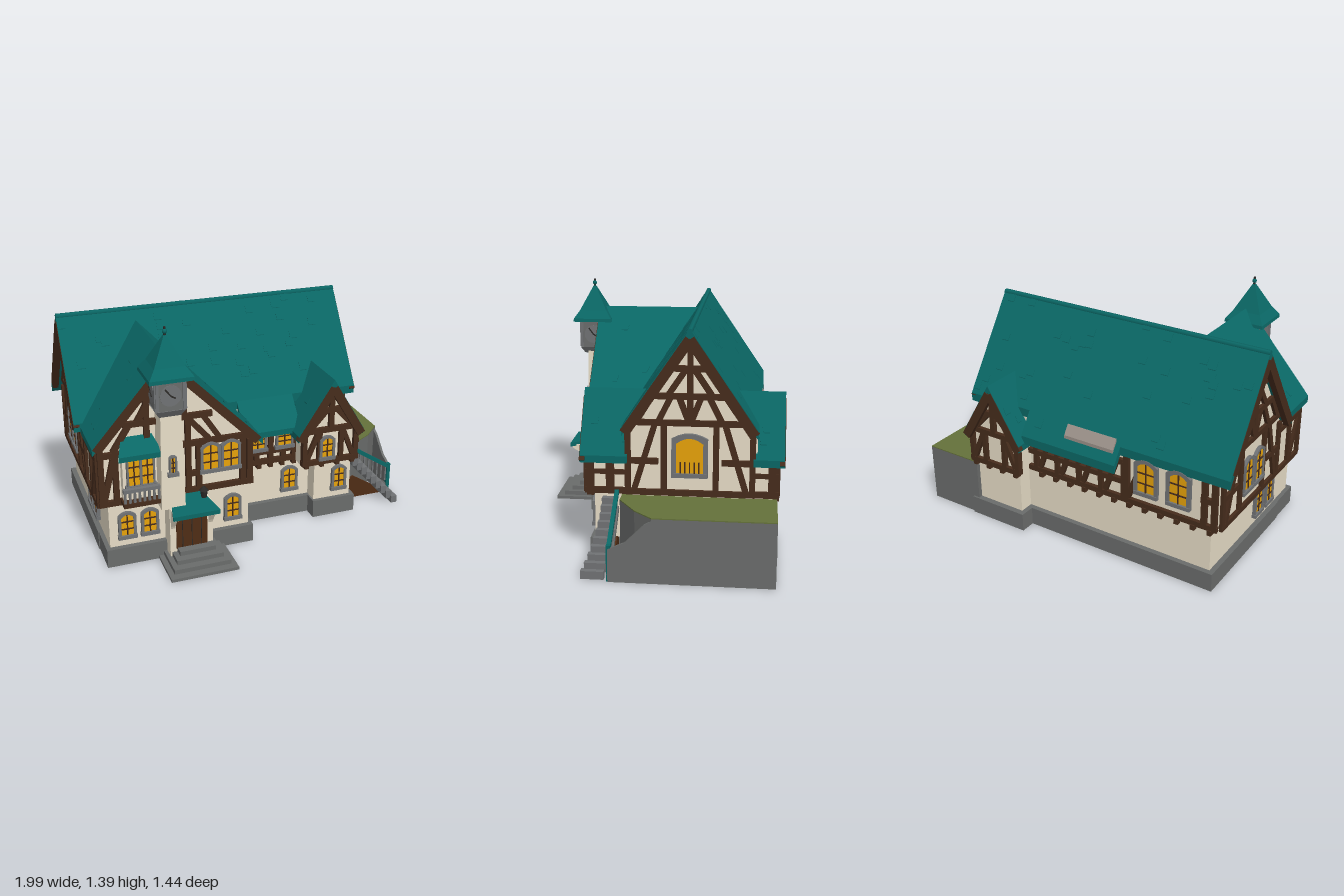
import * as THREE from 'three';

const mat = (name, color) => {
  const m = new THREE.MeshStandardMaterial({ color });
  m.name = name;
  return m;
};

export function createModel() {
  const root = new THREE.Group();
  root.name = 'timberHouse';
  const teal = mat('tealRoof', 0x0a6765), cream = mat('creamPlaster', 0xe6dcc6), wood = mat('darkTimber', 0x462c1c),
    stone = mat('greyStone', 0x6a6c6b), frame = mat('windowStone', 0x707274), glass = mat('amberGlass', 0xe6a20a),
    grass = mat('oliveGrass', 0x64713a), doorWood = mat('doorWood', 0x4f2c15), dark = mat('darkIron', 0x2c2a28),
    pale = mat('paleSlate', 0x9a9088);
  let seed = 7;
  const rnd = () => (seed = (seed * 16807) % 2147483647) / 2147483647;

  const add = (name, geo, m, parent = root) => {
    const mesh = new THREE.Mesh(geo, m);
    mesh.name = name;
    parent.add(mesh);
    return mesh;
  };
  // Box given by its limits
  const box = (name, m, x0, x1, y0, y1, z0, z1, parent = root) => {
    const b = add(name, new THREE.BoxGeometry(x1 - x0, y1 - y0, z1 - z0), m, parent);
    b.position.set((x0 + x1) / 2, (y0 + y1) / 2, (z0 + z1) / 2);
  };
  const polygon = pts => new THREE.Shape(pts.map(p => new THREE.Vector2(...p)));
  // Outline in x,y drawn along z
  const prismZ = (name, m, pts, z0, z1) => {
    const g = new THREE.ExtrudeGeometry(polygon(pts), { depth: z1 - z0, bevelEnabled: false });
    add(name, g.translate(0, 0, z0), m);
  };
  // Outline in z,y drawn along x
  const prismX = (name, m, pts, x0, x1) => {
    const g = new THREE.ExtrudeGeometry(polygon(pts.map(([z, y]) => [-z, y])), { depth: x1 - x0, bevelEnabled: false });
    add(name, g.rotateY(Math.PI / 2).translate(x0, 0, 0), m);
  };
  // Sloped slab: four top corners, thickness measured downwards, optional loose tiles
  const slab = (name, m, pts, t = 0.04, tiles = 0) => {
    const v = pts.map(p => new THREE.Vector3(...p));
    const n = v[1].clone().sub(v[0]).cross(v[2].clone().sub(v[0]));
    if (n.y < 0) v.reverse();
    const all = [...v, ...v.map(p => p.clone().setY(p.y - t))], pos = [];
    const quad = (a, b, c, d) => [a, b, c, a, c, d].forEach(i => pos.push(...all[i].toArray()));
    quad(0, 1, 2, 3);
    quad(7, 6, 5, 4);
    for (let i = 0; i < 4; i++) { const j = (i + 1) % 4; quad(i, i + 4, j + 4, j); }
    const g = new THREE.BufferGeometry();
    g.setAttribute('position', new THREE.Float32BufferAttribute(pos, 3));
    g.computeVertexNormals();
    add(name, g, m);
    const at = (s, r) => {
      const p = v[0].clone().lerp(v[1], s).lerp(v[3].clone().lerp(v[2], s), r);
      return [p.x, p.y + 0.004, p.z];
    };
    const ds = 0.045 / v[0].distanceTo(v[1]), dr = 0.045 / v[0].distanceTo(v[3]);
    for (let i = 0; i < tiles; i++) {
      const s = rnd() * (1 - ds), r = rnd() * (1 - dr);
      slab('looseTile', m, [at(s, r), at(s + ds, r), at(s + ds, r + dr), at(s, r + dr)], 0.008);
    }
  };
  // Wall frame: local x runs along the wall, local z points outwards
  const wall = (name, x, z, turn) => {
    const g = new THREE.Group();
    g.name = name;
    g.position.set(x, 0, z);
    g.rotation.y = turn * Math.PI / 2;
    root.add(g);
    return g;
  };
  const beam = (g, [x1, y1, x2, y2], w = 0.032, d = 0.036, z = 0, m = wood, name = 'timber') => {
    const b = add(name, new THREE.BoxGeometry(Math.hypot(x2 - x1, y2 - y1), w, d), m, g);
    b.position.set((x1 + x2) / 2, (y1 + y2) / 2, z);
    b.rotation.z = Math.atan2(y2 - y1, x2 - x1);
  };
  const beams = (g, list, w) => list.forEach(b => beam(g, b, w));
  const arch = (w, h, k = Math.min(0.25 * w, 0.03)) => {
    const s = new THREE.Shape();
    s.moveTo(-w / 2, -h / 2);
    s.lineTo(w / 2, -h / 2);
    s.lineTo(w / 2, h / 2 - k);
    s.quadraticCurveTo(0, h / 2 + k, -w / 2, h / 2 - k);
    s.closePath();
    return s;
  };
  // Arched window: stone surround, pane, bars (default: one upright and two rails) and sill
  const windowAt = (g, x, y, w = 0.075, h = 0.14, z = 0, e = 0.016, bars) => {
    const n = new THREE.Group();
    n.name = 'window';
    n.position.set(x, y, z);
    g.add(n);
    const s = arch(w + 2 * e, h + 2 * e);
    s.holes.push(arch(w, h));
    add('surround', new THREE.ExtrudeGeometry(s, { depth: 0.02, bevelEnabled: false, curveSegments: 6 }), frame, n);
    add('pane', new THREE.ShapeGeometry(arch(w, h), 6), glass, n).position.z = 0.012;
    bars ??= [[0, -h / 2, 0, h / 2], [-w / 2, -0.2 * h, w / 2, -0.2 * h], [-w / 2, 0.15 * h, w / 2, 0.15 * h]];
    for (const b of bars) beam(n, b, 0.007, 0.006, 0.014, wood, 'bar');
    box('sill', frame, -w / 2 - 0.02, w / 2 + 0.02, -h / 2 - 0.022, -h / 2, 0, 0.025, n);
  };

  // Main roof: height follows the distance from the ridge at z = -0.21
  const RZ = -0.21, RY = 1.29, S = 1.47;
  const roofY = z => RY - S * Math.abs(z - RZ);
  const valley = (y, side) => RZ + side * (RY - y) / S;
  for (const [x0, x1, b] of [[-0.99, -0.33, -0.6], [-0.33, 0.3, -0.66], [0.3, 0.73, -0.575]])
    for (const z of [0.15, b])
      slab('mainRoof', teal, [[x0, RY, RZ], [x1, RY, RZ], [x1, roofY(z), z], [x0, roofY(z), z]], 0.05, Math.round((x1 - x0) * 22));
  slab('middleEaves', teal, [[-0.03, roofY(0.15), 0.15], [0.32, roofY(0.15), 0.15], [0.32, 0.605, 0.29], [-0.03, 0.605, 0.29]], 0.035);
  const cap = add('ridgeCap', new THREE.CylinderGeometry(0.016, 0.016, 1.72, 6), teal);
  cap.rotation.z = Math.PI / 2;
  cap.position.set(-0.13, 1.276, RZ);
  slab('roofHatch', pale, [[-0.3, 0.755, -0.59], [0.02, 0.755, -0.59], [0.02, 0.7, -0.628], [-0.3, 0.7, -0.628]], 0.02);

  // Main body, lower storey and plinths
  prismX('mainUpperWalls', cream, [[0.13, 0.36], [0.13, 0.75], [RZ, 1.25], [-0.57, 0.72], [-0.57, 0.36]], -0.92, 0.66);
  box('mainLowerWalls', cream, -0.88, 0.65, 0.05, 0.38, -0.57, 0.22);
  box('middleUpperWall', cream, -0.06, 0.32, 0.38, 0.6, 0, 0.23);
  box('wingLowerWalls', cream, -0.88, -0.06, 0.05, 0.4, 0, 0.43);
  box('frontBayLower', cream, 0.41, 0.65, 0.05, 0.4, 0, 0.31);
  box('backBayLower', cream, 0.33, 0.655, 0.05, 0.4, -0.655, -0.3);
  for (const [x0, x1, z0, z1] of [[-0.91, 0.67, -0.6, 0.25], [-0.905, -0.04, 0, 0.46], [0.4, 0.675, 0, 0.335], [0.3, 0.68, -0.69, -0.3]])
    box('plinth', stone, x0, x1, 0, 0.11, z0, z1);

  // Cross gables: walls, roof panels ending in the valleys, barge boards
  const crossGable = (name, side, ax, ay, [xl, yl], [xr, yr], zf, zw, wl, wr, cutL, cutR, tiles) => {
    const lim = x => ay - 0.035 - (x < ax ? (ax - x) * (ay - yl) / (ax - xl) : (x - ax) * (ay - yr) / (xr - ax));
    prismZ(name + 'Walls', cream, [[wl, 0.37], [wr, 0.37], [wr, lim(wr)], [ax, ay - 0.035], [wl, lim(wl)]], Math.min(zw, RZ + side * 0.1), Math.max(zw, RZ + side * 0.1));
    const zr = valley(ay, side) - side * 0.01;
    for (const [x, y, zc] of [[xl, yl, cutL], [xr, yr, cutR]]) {
      slab(name + 'Roof', teal, [[ax, ay, zf], [x, y, zf], [x, y, zc], [ax, ay, zr]], 0.04, tiles);
      const k = 0.95, drop = 0.0255 * Math.hypot(1, (ay - y) / (x - ax)) + 0.003;
      beam(root, [ax, ay - drop, ax + (x - ax) * k, ay + (y - ay) * k - drop], 0.05, 0.03, zf - side * 0.012, wood, 'bargeBoard');
    }
  };
  crossGable('wing', 1, -0.54, 1.22, [-0.955, 0.745], [0.01, 0.665], 0.47, 0.43, -0.92, -0.05, valley(0.745, 1), valley(0.665, 1), 5);
  crossGable('frontDormer', 1, 0.485, 0.915, [0.27, 0.585], [0.685, 0.585], 0.385, 0.345, 0.31, 0.66, 0.13, 0.13, 2);
  crossGable('backDormer', -1, 0.48, 0.915, [0.28, 0.585], [0.68, 0.585], -0.715, -0.67, 0.31, 0.66, -0.56, -0.55, 2);

  // Timber framing of the two main gable ends
  const gableEnd = (g, uc, zb) => {
    for (const s of [-1, 1]) {
      const X = u => uc + s * u;
      beam(g, [uc, RY - 0.055, X(0.345), RY - 0.562], 0.055, 0.035, zb, wood, 'bargeBoard');
      beams(g, [[X(0.335), 0.38, X(0.335), 0.72], [X(0.14), 0.4, X(0.14), 0.77], [X(0.3), 0.4, X(0.19), 0.76], [X(0.17), 0.56, X(0.32), 0.56],
        [X(0.17), 0.78, X(0.1), 0.92], [X(0.28), 0.79, X(0.2), 0.92], [X(0.01), 0.79, X(0.06), 0.92], [X(0.12), 0.92, X(0.02), 1.07]]);
    }
    beams(g, [[uc - 0.35, 0.385, uc + 0.35, 0.385], [uc - 0.32, 0.775, uc + 0.32, 0.775], [uc - 0.22, 0.92, uc + 0.22, 0.92],
      [uc - 0.12, 1.07, uc + 0.12, 1.07], [uc, 0.78, uc, 1.2]]);
  };
  const right = wall('rightGable', 0.66, 0, 1), left = wall('leftGable', -0.92, 0, -1);
  gableEnd(right, 0.21, 0.055);
  gableEnd(left, -0.21, 0.055);
  windowAt(right, 0.21, 0.598, 0.145, 0.195, 0.01, 0.025, [-0.05, -0.025, 0, 0.025, 0.05].map(u => [u, -0.097, u, -0.035]));
  for (const u of [-0.27, -0.14]) windowAt(left, u, 0.58, 0.085, 0.18, 0.005);
  beams(left, [[0.14, 0.385, 0.43, 0.385], [0.14, 0.66, 0.42, 0.66], [0.42, 0.38, 0.42, 0.7], [0.28, 0.39, 0.28, 0.66], [0.3, 0.4, 0.4, 0.64]]);
  const leftLow = wall('leftLowerWall', -0.88, 0, -1);
  for (const u of [0, 0.14]) windowAt(leftLow, u, 0.25);
  const wingSide = wall('wingRightSide', -0.05, 0, 1);
  beams(wingSide, [[-0.44, 0.39, -0.22, 0.39], [-0.41, 0.39, -0.41, 0.64], [-0.43, 0.58, -0.24, 0.58], [-0.39, 0.5, -0.28, 0.5]], 0.04);

  // Wing front
  const wing = wall('wingFront', 0, 0.435, 0);
  beams(wing, [[-0.93, 0.395, -0.04, 0.395], [-0.92, 0.685, -0.04, 0.685], [-0.78, 0.85, -0.28, 0.85], [-0.91, 0.38, -0.91, 0.73], [-0.83, 0.4, -0.83, 0.69],
    [-0.42, 0.4, -0.42, 0.85], [-0.36, 0.4, -0.36, 0.69], [-0.1, 0.4, -0.1, 0.69], [-0.06, 0.38, -0.06, 0.66], [-0.9, 0.41, -0.84, 0.66], [-0.84, 0.7, -0.75, 0.84],
    [-0.24, 0.7, -0.33, 0.84], [-0.42, 0.84, -0.3, 0.7], [-0.65, 0.7, -0.65, 1.02], [-0.44, 0.86, -0.44, 1.02], [-0.7, 0.86, -0.62, 1.0], [-0.42, 0.5, -0.36, 0.5]]);
  for (const x of [-0.295, -0.175]) windowAt(wing, x, 0.59, 0.085, 0.15, 0.008);
  for (const x of [-0.78, -0.65, -0.16]) windowAt(wing, x, 0.245, 0.07, 0.13, -0.005);

  // Balcony bay with its little roof
  box('bayWindowWall', cream, -0.8, -0.61, 0.4, 0.72, 0.4, 0.48);
  for (const x of [-0.74, -0.665]) windowAt(wing, x, 0.595, 0.06, 0.17, 0.045, 0.011);
  slab('bayRoof', teal, [[-0.79, 0.775, 0.43], [-0.62, 0.775, 0.43], [-0.59, 0.71, 0.54], [-0.83, 0.71, 0.54]], 0.03);
  box('balconyFloor', wood, -0.81, -0.6, 0.395, 0.42, 0.44, 0.53);
  box('balconyRail', frame, -0.81, -0.6, 0.485, 0.505, 0.505, 0.53);
  for (let i = 0; i < 8; i++) {
    const b = add('baluster', new THREE.CylinderGeometry(0.007, 0.009, 0.08, 6), frame);
    b.position.set(-0.8 + i * 0.027, 0.45, 0.517);
  }

  // Middle front, front dormer and lower windows
  const mid = wall('middleFront', 0, 0.235, 0);
  beams(mid, [[-0.05, 0.39, 0.32, 0.39], [-0.05, 0.455, 0.32, 0.455], [-0.02, 0.39, -0.02, 0.58], [0.15, 0.39, 0.15, 0.58], [0.3, 0.39, 0.3, 0.58], [0.06, 0.39, 0.06, 0.46], [0.23, 0.39, 0.23, 0.46]]);
  for (const x of [0.065, 0.235]) windowAt(mid, x, 0.53, 0.085, 0.09, 0.005, 0.012);
  windowAt(mid, 0.28, 0.245, 0.075, 0.13, -0.014);
  windowAt(wall('frontBayFace', 0, 0.31, 0), 0.57, 0.245, 0.065, 0.13);
  const dormerFrame = (g, c) => {
    beams(g, [[c - 0.18, 0.39, c + 0.18, 0.39], [c - 0.16, 0.595, c + 0.16, 0.595], [c - 0.09, 0.72, c + 0.09, 0.72], [c, 0.6, c, 0.86]]);
    for (const s of [-1, 1]) beams(g, [[c + s * 0.165, 0.38, c + s * 0.165, 0.6], [c + s * 0.07, 0.4, c + s * 0.07, 0.6],
      [c + s * 0.15, 0.41, c + s * 0.08, 0.58], [c + s * 0.13, 0.61, c + s * 0.03, 0.72]], 0.028);
  };
  const front = wall('frontDormerFace', 0, 0.35, 0), back = wall('backDormerFace', 0, -0.675, 2);
  dormerFrame(front, 0.485);
  windowAt(front, 0.46, 0.485, 0.065, 0.12, 0.01);
  dormerFrame(back, -0.485);
  for (const [z, z0, z1] of [[0.33, 0.13, 0.36], [-0.65, -0.685, -0.55]]) {
    box('cornerPost', wood, 0.645, 0.675, 0.37, 0.57, z - 0.02, z + 0.02);
    box('sideBeam', wood, 0.64, 0.675, 0.37, 0.405, z0, z1);
    box('sideBeam', wood, 0.64, 0.675, 0.48, 0.505, z0, z1);
  }
  box('innerPost', wood, 0.64, 0.675, 0.37, 0.6, 0.2, 0.245);

  // Back wall, with u = -x
  const rear = wall('backWall', 0, -0.575, 2);
  beams(rear, [[-0.31, 0.39, 0.92, 0.39], [-0.31, 0.5, 0.34, 0.5], [-0.31, 0.62, 0.34, 0.62], [0.36, 0.39, 0.36, 0.7], [0.9, 0.38, 0.9, 0.7], [0.84, 0.4, 0.84, 0.7], [0.82, 0.55, 0.9, 0.55]]);
  for (let u = -0.26; u < 0.34; u += 0.15) beams(rear, [[u, 0.39, u, 0.62], [u + 0.03, 0.41, u + 0.1, 0.6]], 0.028);
  for (const u of [0.49, 0.69]) windowAt(rear, u, 0.57, 0.105, 0.18, 0.008, 0.022);

  // Jetty brackets
  const bracket = (x, z) => box('jettyBracket', wood, x - 0.013, x + 0.013, 0.35, 0.38, z - 0.02, z + 0.02);
  for (let x = -0.88; x < 0.3; x += 0.1) bracket(x, -0.58);
  for (let x = 0; x < 0.4; x += 0.075) bracket(x, 0.235);
  for (let x = 0.34; x < 0.66; x += 0.1) { bracket(x, 0.335); bracket(x, -0.67); }
  for (let z = -0.52; z < 0.42; z += 0.1) bracket(-0.9, z);

  // Clock tower
  const square = (name, m, rt, rb, y0, y1, x = -0.55, z = 0.505) => {
    const g = new THREE.CylinderGeometry(rt * Math.SQRT2, rb * Math.SQRT2, y1 - y0, 4).rotateY(Math.PI / 4).toNonIndexed();
    g.computeVertexNormals();
    add(name, g, m).position.set(x, (y0 + y1) / 2, z);
  };
  square('towerShaft', cream, 0.057, 0.068, 0.36, 0.96, -0.54, 0.485);
  square('towerCorbel', frame, 0.085, 0.06, 0.92, 0.96);
  square('clockHouse', stone, 0.08, 0.08, 0.96, 1.14);
  square('towerEaves', teal, 0.12, 0.122, 1.13, 1.15);
  square('towerRoofLower', teal, 0.085, 0.12, 1.15, 1.2);
  square('towerRoofUpper', teal, 0.008, 0.085, 1.2, 1.35);
  add('finialPole', new THREE.CylinderGeometry(0.006, 0.008, 0.07, 6), dark).position.set(-0.55, 1.36, 0.505);
  add('finialBall', new THREE.SphereGeometry(0.014, 8, 6), teal).position.set(-0.55, 1.37, 0.505);
  [[0, 0], [1, 1], [3, -1]].forEach(([turn, s]) => {
    const g = wall('clock', -0.55 + s * 0.081, s ? 0.505 : 0.586, turn);
    for (const u of [-0.073, 0.073]) beam(g, [u, 0.965, u, 1.12], 0.016, 0.014, 0, frame, 'clockTrim');
    const face = add('clockFace', new THREE.CylinderGeometry(0.058, 0.058, 0.008, 20), frame, g);
    face.rotation.x = Math.PI / 2;
    face.position.y = 1.045;
    beam(g, [0, 1.045, -0.03, 1.085], 0.008, 0.006, 0.005, dark, 'clockHand');
    beam(g, [0, 1.045, 0.025, 1.03], 0.008, 0.006, 0.005, dark, 'clockHand');
  });
  windowAt(wall('towerFront', -0.54, 0.545, 0), 0, 0.63, 0.022, 0.09, 0, 0.011);

  // Porch, door, canopy, lantern and steps
  box('porchWall', cream, -0.56, -0.31, 0.03, 0.35, 0.4, 0.53);
  const door = add('door', new THREE.ExtrudeGeometry(arch(0.18, 0.24), { depth: 0.012, bevelEnabled: false }), doorWood);
  door.position.set(-0.435, 0.21, 0.525);
  for (const x of [-0.49, -0.435, -0.38]) box('doorSeam', dark, x - 0.002, x + 0.002, 0.095, 0.31, 0.534, 0.54);
  for (const x of [-0.555, -0.335]) prismX('canopyBracket', cream, [[0.52, 0.2], [0.54, 0.24], [0.575, 0.29], [0.625, 0.32], [0.625, 0.345], [0.52, 0.345]], x, x + 0.025);
  slab('canopy', teal, [[-0.53, 0.385, 0.45], [-0.35, 0.385, 0.45], [-0.3, 0.355, 0.64], [-0.57, 0.355, 0.64]], 0.025);
  add('lantern', new THREE.CylinderGeometry(0.022, 0.016, 0.045, 6), dark).position.set(-0.36, 0.41, 0.53);
  add('lanternCap', new THREE.ConeGeometry(0.028, 0.03, 6), dark).position.set(-0.36, 0.445, 0.53);
  for (let i = 0; i < 4; i++) box('porchStep', stone, -0.61 + i * 0.03, -0.22 - i * 0.03, 0, 0.026 * (i + 1) - 0.008, 0.42, 0.72 - i * 0.045);

  // Terrace with grass top
  const plan = [[0.64, -0.68], [1, -0.68], [1, -0.04], [0.9, 0.06], [0.74, 0.16], [0.64, 0.16]];
  const terrace = (name, m, y, h) => add(name, new THREE.ExtrudeGeometry(polygon(plan.map(([x, z]) => [x, -z])),
    { depth: h, bevelEnabled: false }).rotateX(-Math.PI / 2), m).position.y = y;
  terrace('terrace', stone, 0, 0.355);
  terrace('grassTop', grass, 0.355, 0.006);
  prismX('terraceSideWall', stone, [[-0.06, 0], [0.19, 0], [0.19, 0.18], [0.1, 0.22], [0, 0.32], [-0.06, 0.355]], 0.985, 1);
  prismZ('stairSidePanel', doorWood, [[0.68, 0], [0.96, 0], [0.9, 0.05], [0.74, 0.15], [0.68, 0.12]], 0.175, 0.19);

  // Side stairs, sweeping forward at the foot, and railing
  for (let i = 0; i < 10; i++) {
    const x = 0.66 + i * 0.031, y = 0.35 - i * 0.034, dz = 0.0009 * i * i;
    box('stairStep', frame, x, x + 0.038, Math.max(0, y - 0.05), y, 0.185 + dz * 0.4, 0.265 + dz);
  }
  beam(root, [0.67, 0.385, 0.99, 0.175], 0.022, 0.022, 0.185, teal, 'stairRail');
  beam(root, [0.67, 0.29, 0.99, 0.03], 0.03, 0.02, 0.185, stone, 'stairStringer');
  for (let i = 0; i < 10; i++) {
    const x = 0.69 + i * 0.031, y = 0.375 - i * 0.0205;
    beam(root, [x, y, x, y - 0.11], 0.009, 0.009, 0.185, frame, 'stairBaluster');
  }
  box('newelPost', teal, 0.975, 0.997, 0, 0.2, 0.175, 0.197);
  return root;
}
